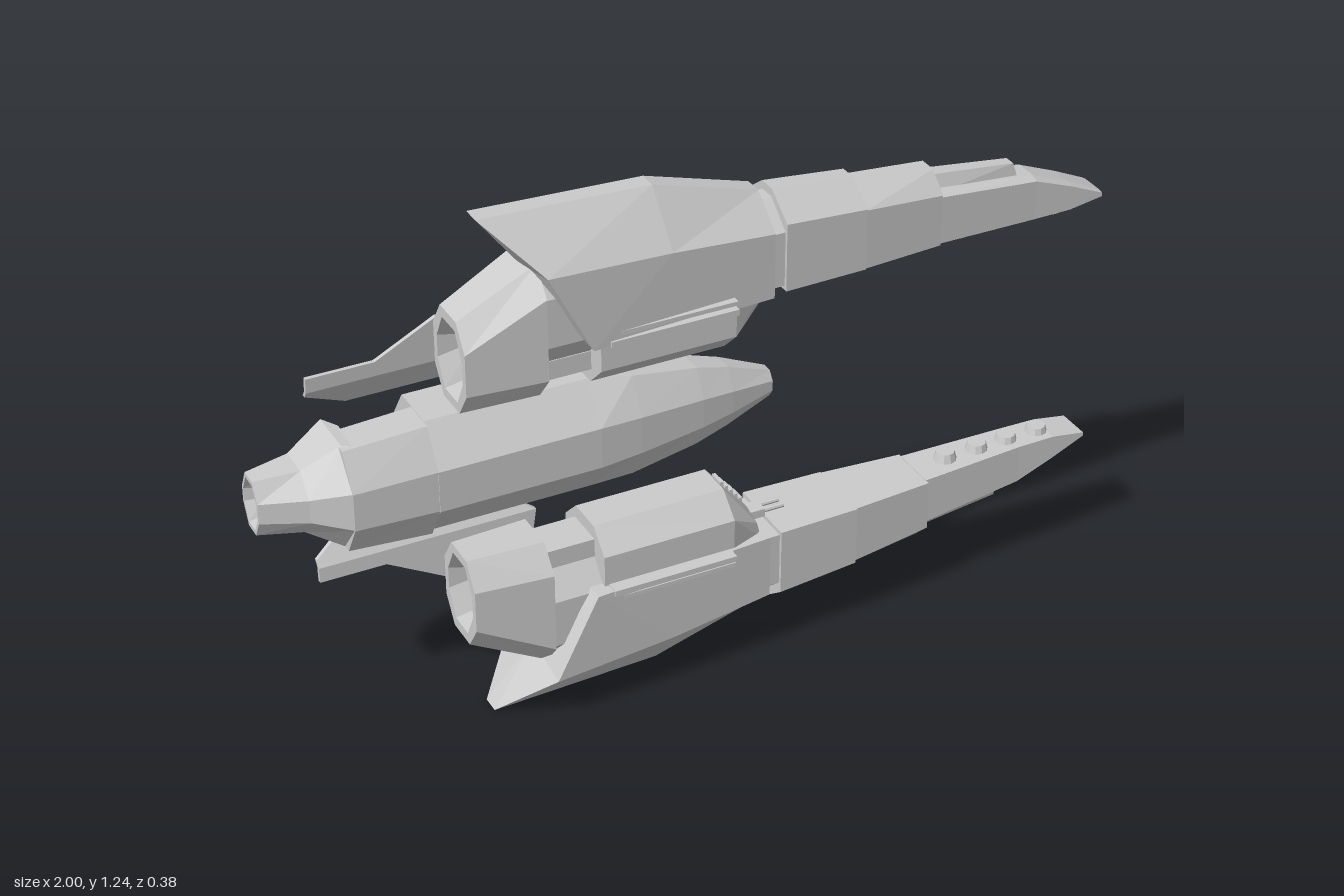
import * as THREE from 'three';

const MID = 0.623; // height of the fuselage axis
const PZ = 0.057; // z centre of the wing pods
const mat = new THREE.MeshStandardMaterial({ color: 0xcccccc, flatShading: true, side: THREE.DoubleSide });

function add(parent, name, geo, x = 0, y = 0, z = 0) {
  const m = new THREE.Mesh(geo, mat);
  m.name = name;
  m.position.set(x, y, z);
  parent.add(m);
  return m;
}

const box = (parent, name, x0, x1, y0, y1, z0, z1) =>
  add(parent, name, new THREE.BoxGeometry(x1 - x0, y1 - y0, z1 - z0), (x0 + x1) / 2, (y0 + y1) / 2, (z0 + z1) / 2);

// Skin a list of rings (running along +x, points turning from +y to +z) and cap both ends
function loft(rings) {
  const pos = [], n = rings[0].length;
  const tri = (...p) => p.forEach((v) => pos.push(...v));
  const centre = (r) => [0, 1, 2].map((k) => r.reduce((s, p) => s + p[k], 0) / n);
  const first = rings[0], last = rings[rings.length - 1];
  const c0 = centre(first), c1 = centre(last);
  for (let i = 0; i < n; i++) {
    const j = (i + 1) % n;
    for (let k = 0; k + 1 < rings.length; k++) {
      const a = rings[k], b = rings[k + 1];
      tri(a[i], a[j], b[i]);
      tri(a[j], b[j], b[i]);
    }
    tri(c0, first[j], first[i]);
    tri(c1, last[i], last[j]);
  }
  const g = new THREE.BufferGeometry();
  g.setAttribute('position', new THREE.Float32BufferAttribute(pos, 3));
  g.computeVertexNormals();
  return g;
}

// Fuselage octagon: half height h, from belly zf to back zb
function oct(x, h, zf, zb) {
  const d = zf - zb, a = zf - 0.27 * d, b = zf - 0.73 * d;
  return [[a, h], [zf, h * 0.36], [zf, -h * 0.36], [a, -h], [b, -h], [zb, -h * 0.28], [zb, h * 0.28], [b, h]]
    .map(([z, y]) => [x, MID + y, z]);
}

// Roof-shaped pod section; each level is [x, y, half width], from ridge to base
function roof(...levels) {
  const side = (s) => levels.map(([x, y, w]) => [x, y, PZ + s * w]);
  return [...side(1), ...side(-1).reverse()];
}

// Square bar between two points
function beam(parent, name, a, b, t) {
  const p = new THREE.Vector3(...a), q = new THREE.Vector3(...b);
  const m = add(parent, name, new THREE.BoxGeometry(t, t, p.distanceTo(q)));
  m.position.copy(p).lerp(q, 0.5);
  m.lookAt(q);
}

function buildFuselage() {
  const g = new THREE.Group();
  g.name = 'fuselage';
  add(g, 'mainHull', loft([
    oct(-0.63, 0.138, 0.09, -0.172), oct(-0.25, 0.138, 0.09, -0.172), oct(-0.15, 0.125, 0.083, -0.098),
    oct(0.01, 0.098, 0.065, -0.07), oct(0.09, 0.075, 0.052, -0.055), oct(0.2, 0.033, 0.03, -0.025),
  ]));
  add(g, 'tailNeck', loft([oct(-0.82, 0.125, 0.082, -0.1), oct(-0.63, 0.136, 0.088, -0.1)]));
  add(g, 'tailNozzle', loft([
    oct(-0.96, 0.045, -0.025, -0.08), oct(-1, 0.056, -0.012, -0.092), oct(-1, 0.067, -0.005, -0.098),
    oct(-0.9, 0.077, 0.035, -0.13), oct(-0.815, 0.128, 0.082, -0.172), oct(-0.79, 0.126, 0.082, -0.12),
  ]));
  // exposed pipes in the neck
  for (const y of [-0.04, 0, 0.04]) {
    const pipe = add(g, 'neckPipe', new THREE.CylinderGeometry(0.014, 0.014, 0.18, 8), -0.72, MID + y, -0.112);
    pipe.rotation.z = Math.PI / 2;
  }
  for (const x of [-0.76, -0.68]) box(g, 'pipeClamp', x - 0.012, x + 0.012, MID - 0.06, MID + 0.06, -0.13, -0.09);
  // cockpit frame
  for (const s of [1, -1]) {
    const path = [[-0.26, 0.04, -0.168], [-0.15, 0.035, -0.096], [0.01, 0.027, -0.069]];
    const pts = path.map(([x, y, z]) => [x, MID + s * y, z]);
    beam(g, 'cockpitFrame', pts[0], pts[1], 0.01);
    beam(g, 'cockpitFrame', pts[1], pts[2], 0.01);
  }
  box(g, 'cockpitCrossbar', -0.155, -0.143, MID - 0.036, MID + 0.036, -0.1, -0.088);
  // equipment on the back
  box(g, 'backUnit', -0.45, -0.38, MID - 0.022, MID + 0.022, -0.186, -0.165);
  for (const s of [1, -1]) box(g, 'backRail', -0.38, -0.33, MID + s * 0.014 - 0.006, MID + s * 0.014 + 0.006, -0.183, -0.165);
  const tip = add(g, 'backUnitTip', new THREE.ConeGeometry(0.02, 0.07, 6), -0.3, MID, -0.172);
  tip.rotation.z = -Math.PI / 2;
  return g;
}

// Flat outline extruded to a thin plate, then bent towards the back below the crease
function finPlate(points) {
  const geo = new THREE.ExtrudeGeometry(new THREE.Shape(points.map((p) => new THREE.Vector2(...p))), { depth: 0.01, bevelEnabled: false });
  const p = geo.attributes.position;
  for (let i = 0; i < p.count; i++) {
    const y = p.getY(i);
    p.setZ(i, p.getZ(i) - 0.077 + (y > 0.845 ? (y - 0.845) * 0.06 : (y - 0.845) * 0.7));
  }
  geo.computeVertexNormals();
  return geo;
}

function buildPod() {
  const g = new THREE.Group();
  g.name = 'wingPod';
  add(g, 'podHull', loft([
    roof([-0.52, 1.243, 0.022], [-0.41, 1.13, 0.13], [-0.31, 0.935, 0.13]),
    roof([-0.12, 1.228, 0.022], [-0.12, 1.113, 0.118], [-0.12, 0.933, 0.118]),
    roof([0.13, 1.155, 0.022], [0.13, 1.087, 0.102], [0.13, 0.932, 0.102]),
  ]));
  // engine block with a sunken rear opening
  const block = (x, top, bot, w) => roof([x, top, w * 0.5], [x, top - 0.06, w], [x, bot + 0.06, w], [x, bot, w * 0.5]);
  add(g, 'engineBlock', loft([
    block(-0.5, 0.99, 0.85, 0.058), block(-0.58, 1.005, 0.832, 0.065),
    block(-0.58, 1.03, 0.81, 0.082), block(-0.4, 1.125, 0.81, 0.1),
  ]));
  add(g, 'engineNeck', loft([block(-0.41, 1.12, 0.885, 0.095), block(-0.26, 1.12, 0.885, 0.095)]));
  box(g, 'linkBar', -0.42, -0.26, 0.84, 0.885, PZ - 0.05, PZ + 0.05);
  // nacelle on the inner side of the hull
  add(g, 'nacelle', loft([
    roof([-0.28, 0.945, 0.1], [-0.28, 0.86, 0.1], [-0.28, 0.808, 0.045]),
    roof([0.04, 0.945, 0.1], [0.04, 0.86, 0.1], [0.04, 0.808, 0.045]),
    roof([0.122, 0.945, 0.07], [0.115, 0.91, 0.065], [0.108, 0.885, 0.03]),
  ]));
  for (let i = 0; i < 5; i++) {
    const x = 0.045 + i * 0.012, y = 0.811 + i * 0.014;
    box(g, 'nacelleRib', x, x + 0.008, y - 0.004, y + 0.01, PZ - 0.02, PZ + 0.02);
  }
  box(g, 'gunMount', 0.11, 0.16, 0.912, 0.932, PZ - 0.02, PZ + 0.02);
  for (const s of [1, -1]) {
    const gun = add(g, 'gunBarrel', new THREE.CylinderGeometry(0.006, 0.006, 0.09, 8), 0.165, 0.92, PZ + s * 0.012);
    gun.rotation.z = Math.PI / 2;
    // side rails
    const rail = (x0, x1, y0, y1, w) => box(g, 'sideRail', x0, x1, y0, y1, PZ + s * (w - 0.02) - 0.02, PZ + s * (w - 0.02) + 0.02);
    rail(-0.31, 0.03, 0.953, 0.963, 0.126);
    rail(-0.27, 0.03, 0.932, 0.946, 0.132);
  }
  // forward arm: recessed joint, then three stepped segments
  add(g, 'armJoint', loft([0.12, 0.17].map((x) => roof([x, 1.13, 0.02], [x, 1.075, 0.085], [x, 0.945, 0.085]))));
  const segment = (x0, x1, top, mid, w) => add(g, 'armSegment', loft([x0, x1].map((x, i) =>
    roof([x, top[i], 0.022], [x, mid[i], w[i]], [x, 0.935, w[i]]))));
  segment(0.163, 0.362, [1.15, 1.13], [1.097, 1.082], [0.093, 0.087]);
  segment(0.36, 0.562, [1.118, 1.102], [1.078, 1.058], [0.084, 0.068]);
  add(g, 'armTip', loft([
    roof([0.56, 1.058, 0.03], [0.56, 1.048, 0.058], [0.56, 0.933, 0.058]),
    roof([0.82, 1.028, 0.028], [0.82, 1.02, 0.045], [0.82, 0.925, 0.045]),
    roof([0.915, 0.99, 0.028], [0.915, 0.984, 0.043], [0.915, 0.925, 0.043]),
    roof([1, 0.95, 0.028], [1, 0.947, 0.042], [1, 0.938, 0.042]),
  ]));
  add(g, 'tipRidge', loft([
    roof([0.56, 1.087, 0.018], [0.56, 1.045, 0.035]),
    roof([0.775, 1.062, 0.014], [0.785, 1.025, 0.02]),
  ]));
  for (const x of [0.645, 0.73, 0.81, 0.893])
    add(g, 'tipButton', new THREE.CylinderGeometry(0.028, 0.022, 0.022, 10), x, 0.92, PZ);
  // bent fin beside the engine
  add(g, 'finRoot', finPlate([[-0.855, 0.845], [-0.34, 0.845], [-0.36, 0.955], [-0.56, 0.955], [-0.7, 0.88], [-0.855, 0.88]]));
  add(g, 'finBlade', finPlate([[-0.855, 0.83], [-0.75, 0.768], [-0.475, 0.768], [-0.34, 0.845], [-0.855, 0.845]]));
  return g;
}

export function createModel() {
  const model = new THREE.Group();
  model.name = 'spacecraft';
  model.add(buildFuselage());
  const upper = buildPod(), lower = buildPod();
  upper.name = 'upperWingPod';
  lower.name = 'lowerWingPod';
  // the lower pod mirrors the upper one about the fuselage axis
  lower.scale.y = -1;
  lower.position.y = MID * 2;
  model.add(upper, lower);
  return model;
}
